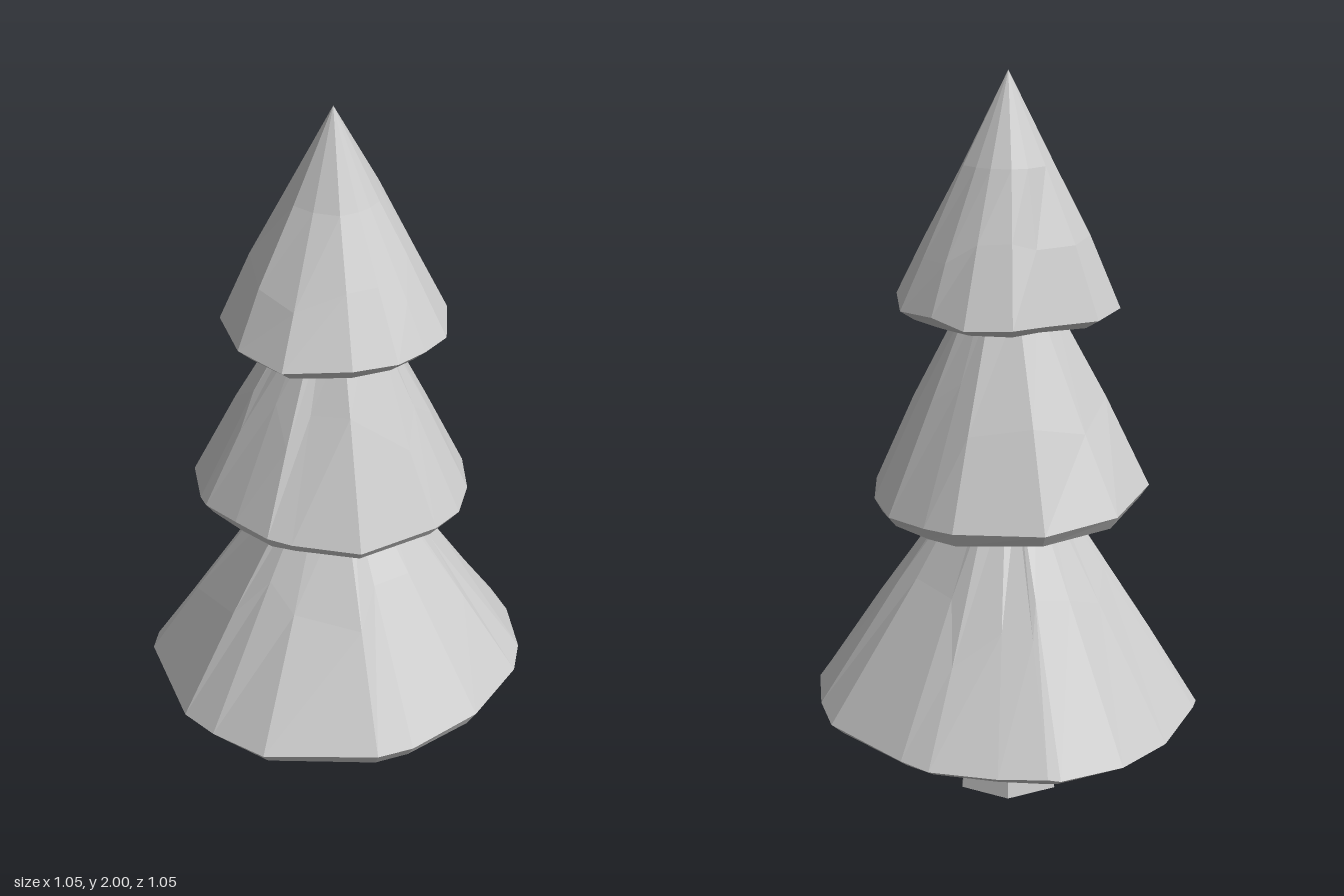
import * as THREE from 'three';

const material = new THREE.MeshStandardMaterial({ color: 0xcccccc, flatShading: true });

// Small seeded noise in -1..1 for the hand-cut facets
function makeNoise(seed) {
  let s = seed;
  return () => {
    s = (s * 16807) % 2147483647;
    return (s / 2147483647) * 2 - 1;
  };
}

// Skins a stack of rings; the first and last rings are single points
function skinRings(rings) {
  const pos = [];
  const n = rings[0].length;
  for (let k = 0; k < rings.length - 1; k++) {
    const a = rings[k], b = rings[k + 1];
    for (let i = 0; i < n; i++) {
      const j = (i + 1) % n;
      if (k > 0) pos.push(...a[i], ...b[i], ...a[j]);
      if (k < rings.length - 2) pos.push(...a[j], ...b[i], ...b[j]);
    }
  }
  const geometry = new THREE.BufferGeometry();
  geometry.setAttribute('position', new THREE.Float32BufferAttribute(pos, 3));
  geometry.computeVertexNormals();
  return geometry;
}

// One skirt of branches: irregular tilted rim, bevelled underside, sloping sides.
// rim and under are planes [height, slope along x, slope along z].
function makeTier({ name, outline, rim, under, inset, neckY, neckR, tipY, tipZ, bulge, seed }) {
  const noise = makeNoise(seed);
  const plane = ([h, sx, sz], x, z) => h + sx * x + sz * z;
  const underRing = outline.map(([x, z]) => [x * inset, plane(under, x, z), z * inset]);
  const rimRing = outline.map(([x, z]) => [x, plane(rim, x, z) + 0.008 * noise(), z]);
  const neckRing = outline.map(([x, z]) => {
    const r = (neckR * (1 + 0.06 * noise())) / Math.hypot(x, z);
    return [x * r, neckY, z * r + tipZ];
  });
  // Uneven ring part-way up gives the sides their chiselled facets
  const midRing = rimRing.map((p, i) => {
    const t = 0.5 + 0.15 * noise();
    const q = neckRing[i].map((v, c) => p[c] + (v - p[c]) * t);
    const s = bulge + 0.03 * noise();
    return [q[0] * s, q[1], q[2] * s];
  });
  const point = (y, z) => outline.map(() => [0, y, z]);
  const geometry = skinRings([
    point(under[0], 0), underRing, rimRing, midRing, neckRing, point(tipY, tipZ),
  ]);
  const mesh = new THREE.Mesh(geometry, material);
  mesh.name = name;
  return mesh;
}

const tiers = [
  {
    name: 'lowerBranches',
    outline: [
      [0.525, 0.03], [0.5, 0.15], [0.43, 0.31], [0.36, 0.39], [0.15, 0.505], [-0.07, 0.525],
      [-0.17, 0.505], [-0.43, 0.33], [-0.5, 0.17], [-0.525, 0.05], [-0.46, -0.275],
      [-0.42, -0.32], [-0.24, -0.455], [-0.06, -0.525], [0.13, -0.525], [0.16, -0.51],
      [0.27, -0.44], [0.41, -0.32], [0.45, -0.24],
    ],
    rim: [0.265, 0, 0.075], under: [0.23, 0, 0.045], inset: 0.94,
    neckY: 0.88, neckR: 0.125, tipY: 0.9, tipZ: -0.01, bulge: 1.0, seed: 11,
  },
  {
    name: 'middleBranches',
    outline: [
      [0.365, -0.015], [0.35, 0.1], [0.28, 0.23], [0.2, 0.31], [0.1, 0.35], [-0.14, 0.36],
      [-0.28, 0.24], [-0.325, 0.19], [-0.36, 0.08], [-0.385, -0.04], [-0.38, -0.08],
      [-0.325, -0.22], [-0.13, -0.37], [0.09, -0.37], [0.29, -0.235], [0.33, -0.15],
    ],
    rim: [0.875, -0.075, 0.05], under: [0.838, -0.07, 0.06], inset: 0.94,
    neckY: 1.4, neckR: 0.115, tipY: 1.42, tipZ: -0.005, bulge: 1.01, seed: 29,
  },
  {
    name: 'upperBranches',
    outline: [
      [0.305, 0.02], [0.26, 0.13], [0.18, 0.25], [0.09, 0.29], [0, 0.305], [-0.12, 0.28],
      [-0.27, 0.185], [-0.31, 0.03], [-0.25, -0.18], [-0.12, -0.28], [0.03, -0.26],
      [0.13, -0.27], [0.235, -0.2], [0.275, -0.1],
    ],
    rim: [1.395, -0.01, 0.09], under: [1.362, -0.01, 0.055], inset: 0.87,
    neckY: 1.76, neckR: 0.125, tipY: 2, tipZ: -0.015, bulge: 1.02, seed: 53,
  },
];

export function createModel() {
  const tree = new THREE.Group();
  tree.name = 'pineTree';

  // Tapered six-sided trunk
  const trunk = new THREE.Mesh(new THREE.CylinderGeometry(0.1, 0.15, 0.26, 6), material);
  trunk.name = 'trunk';
  trunk.rotation.y = Math.PI / 2;
  trunk.position.set(-0.01, 0.13, 0);
  tree.add(trunk);

  // Three stacked skirts of branches
  for (const tier of tiers) tree.add(makeTier(tier));
  return tree;
}
